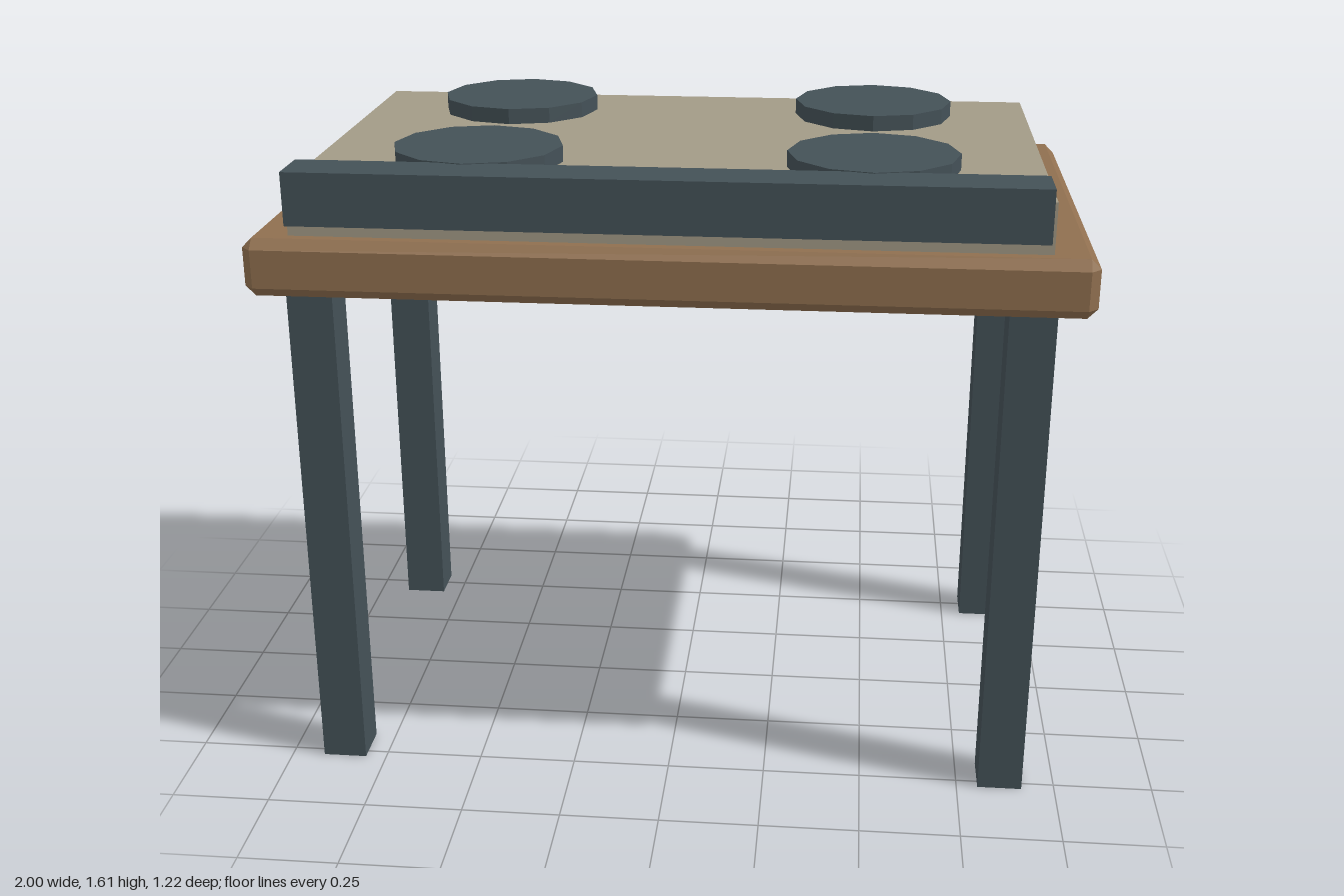
import * as THREE from 'three';
import { ConvexGeometry } from 'three/addons/geometries/ConvexGeometry.js';

const material = (color) => new THREE.MeshStandardMaterial({ color, flatShading: true });

// Box with every edge cut by a single flat chamfer
function chamferedBox(w, h, d, c) {
  const half = [w / 2, h / 2, d / 2];
  const points = [];
  for (const sx of [-1, 1]) for (const sy of [-1, 1]) for (const sz of [-1, 1]) {
    for (let full = 0; full < 3; full++) {
      const p = half.map((v, i) => (i === full ? v : v - c));
      points.push(new THREE.Vector3(sx * p[0], sy * p[1], sz * p[2]));
    }
  }
  return new ConvexGeometry(points);
}

export function createModel() {
  const model = new THREE.Group();
  model.name = 'stoveTable';
  const wood = material(0x8f6f4f);
  const slate = material(0x445157);
  const stone = material(0xa29a86);
  const midZ = -0.011; // the front rail overhangs, so the table sits slightly back

  const add = (name, geometry, mat, x, y, z) => {
    const mesh = new THREE.Mesh(geometry, mat);
    mesh.name = name;
    mesh.position.set(x, y, z);
    model.add(mesh);
  };

  // Table top and the slab resting on it
  add('tableTop', chamferedBox(2, 0.142, 1.202, 0.024), wood, 0, 1.361, midZ);
  add('cooktop', new THREE.BoxGeometry(1.79, 0.123, 1.105), stone, 0, 1.4935, midZ - 0.001);

  // Rail along the upper front edge
  add('frontRail', new THREE.BoxGeometry(1.76, 0.128, 0.126), slate, 0, 1.539, 0.549);

  // Legs and burner discs, one of each per corner
  const leg = new THREE.BoxGeometry(0.112, 1.3, 0.112);
  const burner = new THREE.CylinderGeometry(0.208, 0.208, 0.04, 12);
  for (const [sx, side] of [[1, 'Left'], [-1, 'Right']]) {
    for (const [sz, end] of [[1, 'front'], [-1, 'back']]) {
      add(`${end}${side}Leg`, leg, slate, sx * 0.86, 0.65, midZ + sz * 0.481);
      add(`${end}${side}Burner`, burner, slate, sx * 0.48, 1.585, midZ + sz * 0.306);
    }
  }
  return model;
}
